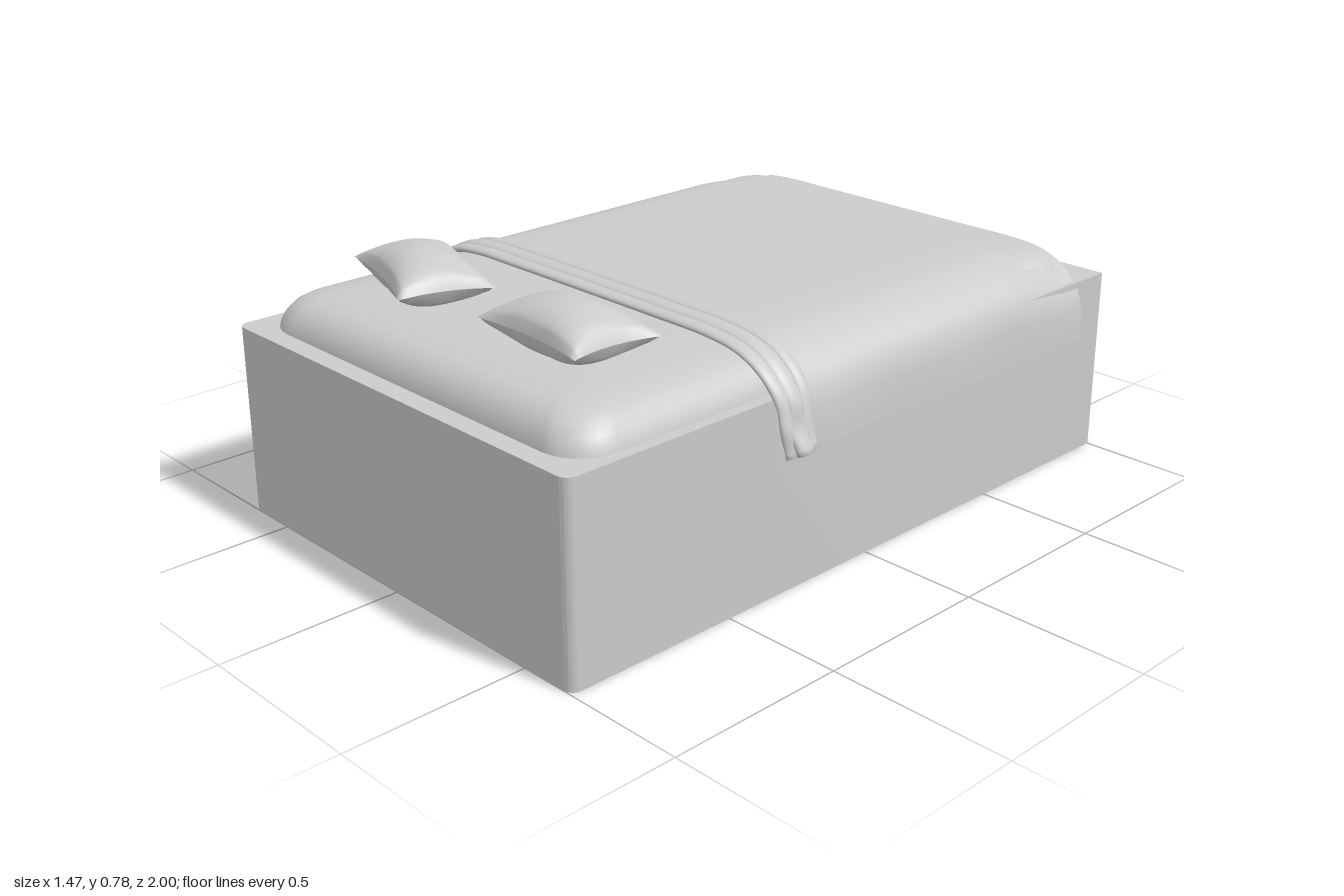
import * as THREE from 'three';
import { mergeVertices, mergeGeometries, toCreasedNormals } from 'three/addons/utils/BufferGeometryUtils.js';

const material = new THREE.MeshStandardMaterial({ color: 0xcccccc, side: THREE.DoubleSide });

// Smooth grid surface: fn(u, v, i, j) returns [x, y, z], with u and v from 0 to 1
function surface(nu, nv, fn) {
  const pos = [], idx = [];
  for (let j = 0; j <= nv; j++)
    for (let i = 0; i <= nu; i++) pos.push(...fn(i / nu, j / nv, i, j));
  for (let j = 0; j < nv; j++)
    for (let i = 0; i < nu; i++) {
      const a = j * (nu + 1) + i, b = a + 1, c = a + nu + 1, d = c + 1;
      idx.push(a, b, d, a, d, c);
    }
  const g = new THREE.BufferGeometry();
  g.setAttribute('position', new THREE.Float32BufferAttribute(pos, 3));
  g.setIndex(idx);
  const welded = mergeVertices(g, 1e-5);
  welded.computeVertexNormals();
  return welded;
}

// Symmetric curve over the bed from one half profile; dropL lowers the -x end
function overBed(half, dropL = 0) {
  const right = half.map(([x, y]) => new THREE.Vector3(x, y, 0));
  const left = half.map(([x, y], k) =>
    new THREE.Vector3(-x, y - (k === half.length - 1 ? dropL : 0), 0)).reverse();
  return new THREE.CatmullRomCurve3([...left, ...right], false, 'centripetal');
}

// Box base, with only the two front upright edges rounded
function baseGeometry() {
  const w = 0.665, r = 0.03, s = new THREE.Shape();
  s.moveTo(-w, 1);
  s.lineTo(-w, -1 + r);
  s.absarc(-w + r, -1 + r, r, Math.PI, Math.PI * 1.5, false);
  s.absarc(w - r, -1 + r, r, Math.PI * 1.5, Math.PI * 2, false);
  s.lineTo(w, 1);
  s.closePath();
  const g = new THREE.ExtrudeGeometry(s, { depth: 0.53, bevelEnabled: false, curveSegments: 8 });
  return toCreasedNormals(g.rotateX(-Math.PI / 2), 0.6);
}

// Mattress: rounded rectangles stacked with a growing inset
function mattressGeometry() {
  const rings = [[0, 0.525], [0.004, 0.545], [0.016, 0.57], [0.035, 0.592], [0.06, 0.607],
    [0.09, 0.616], [0.14, 0.623], [0.22, 0.628], [0.35, 0.63], [0.635, 0.63]];
  const n = 9;
  return surface(4 * n, rings.length - 1, (u, v, i, j) => {
    const [inset, y] = rings[j];
    const hw = 0.635 - inset, hd = 0.937 - inset;
    const r = Math.min(Math.max(0.12 - inset * 0.5, 0.04), hw);
    const k = i % (4 * n), corner = Math.floor(k / n);
    const t = (corner + (k % n) / (n - 1)) * Math.PI / 2;
    const sx = corner === 0 || corner === 3 ? 1 : -1, sz = corner < 2 ? -1 : 1;
    return [sx * (hw - r) + r * Math.cos(t), y, 0.008 + sz * (hd - r) - r * Math.sin(t)];
  });
}

// Blanket: thin sheet draped over the top and both sides
function blanketGeometry() {
  const path = overBed([[0.25, 0.638], [0.46, 0.637], [0.54, 0.627], [0.61, 0.595],
    [0.655, 0.55], [0.676, 0.5], [0.684, 0.44], [0.687, 0.37]]);
  return surface(64, 40, (u, v) => {
    const p = path.getPoint(u), z = 0.31 - 1.19 * v;
    const hang = THREE.MathUtils.smoothstep(0.6 - p.y, 0, 0.23);
    const sag = THREE.MathUtils.smoothstep(-z, 0.6, 0.88) * 0.026 * (1 - hang);
    const bulge = 0.02 * Math.exp(-(((z - 0.15) / 0.1) ** 2)) * (p.x < 0 ? 1 : 0.2);
    const ripple = 0.002 * Math.sin(z * 14);
    const y = p.y - sag + hang * (0.008 * THREE.MathUtils.smoothstep(z, -0.6, 0.3));
    return [p.x + Math.sign(p.x) * hang * (bulge + ripple), y, z];
  });
}

// One roll of the folded blanket edge: a flattened tube following the drape
function foldGeometry({ z, width, thick, lift, flare, end, dropL }) {
  const path = overBed([[0.28, 0.647], [0.46, 0.642], [0.56, 0.624], [0.635, 0.582],
    [0.678, 0.525], [0.696, 0.46], [0.705 + flare, end]], dropL);
  const nu = 72;
  return surface(nu, 16, (u, v, i) => {
    const t = THREE.MathUtils.clamp((i - 1) / (nu - 2), 0, 1);
    const p = path.getPoint(t), d = path.getTangent(t), a = v * Math.PI * 2;
    const scale = i === 0 || i === nu ? 0 : 1;
    const hang = THREE.MathUtils.smoothstep(0.62 - p.y, 0, 0.24);
    const crease = 1 + 0.2 * hang * Math.sin(p.y * 60 + z * 90);
    const n = lift + scale * thick * crease * Math.sin(a);
    const bow = 0.012 * (1 - (p.x / 0.7) ** 2);
    const zc = THREE.MathUtils.lerp(z, 0.31 + (z - 0.31) * 0.65, hang) + bow;
    const wob = 0.004 * hang * Math.sin(p.y * 45);
    return [p.x - d.y * n, p.y + d.x * n, zc + wob + scale * width * Math.cos(a)];
  });
}

// Pillow: two bulging halves over four corners, with edges pulled inwards
function pillowGeometry([a, b, c, d]) {
  const half = (side) => surface(28, 28, (s, q) => {
    const u = s * 2 - 1, v = (1 - q * 2) * side;
    const pu = (u * (1 - 0.12 * (1 - v * v)) + 1) / 2;
    const pv = (v * (1 - 0.14 * (1 - u * u)) + 1) / 2;
    const mix = (k) => THREE.MathUtils.lerp(
      THREE.MathUtils.lerp(a[k], b[k], pu), THREE.MathUtils.lerp(d[k], c[k], pu), pv);
    const puff = Math.max(0, (1 - u * u) * (1 - v * v)) ** 0.48;
    const pucker = 1 + 0.05 * Math.sin(u * 9 + v * 5) * Math.max(u * u, v * v);
    return [mix(0), 0.707 + side * 0.072 * puff * pucker, mix(1)];
  });
  return mergeGeometries([half(1), half(-1)]);
}

export function createModel() {
  const model = new THREE.Group();
  model.name = 'bed';
  const add = (name, geometry) => {
    const mesh = new THREE.Mesh(geometry, material);
    mesh.name = name;
    model.add(mesh);
  };

  add('base', baseGeometry());
  add('mattress', mattressGeometry());
  add('blanket', blanketGeometry());

  // Folded edge: three rolls side by side
  [
    { z: 0.262, width: 0.02, thick: 0.01, lift: 0, flare: 0.012, end: 0.4, dropL: 0.025 },
    { z: 0.308, width: 0.027, thick: 0.012, lift: 0.001, flare: 0.018, end: 0.39, dropL: 0.02 },
    { z: 0.347, width: 0.023, thick: 0.011, lift: -0.002, flare: 0.002, end: 0.385, dropL: 0.035 },
  ].forEach((fold, k) => add('blanketFold' + (k + 1), foldGeometry(fold)));

  // Pillow corners as [x, z]: back right, back left, front left, front right
  add('rightPillow', pillowGeometry([[-0.385, 0.515], [-0.02, 0.64], [-0.11, 0.87], [-0.475, 0.75]]));
  add('leftPillow', pillowGeometry([[0.135, 0.555], [0.515, 0.575], [0.495, 0.825], [0.115, 0.805]]));
  return model;
}
